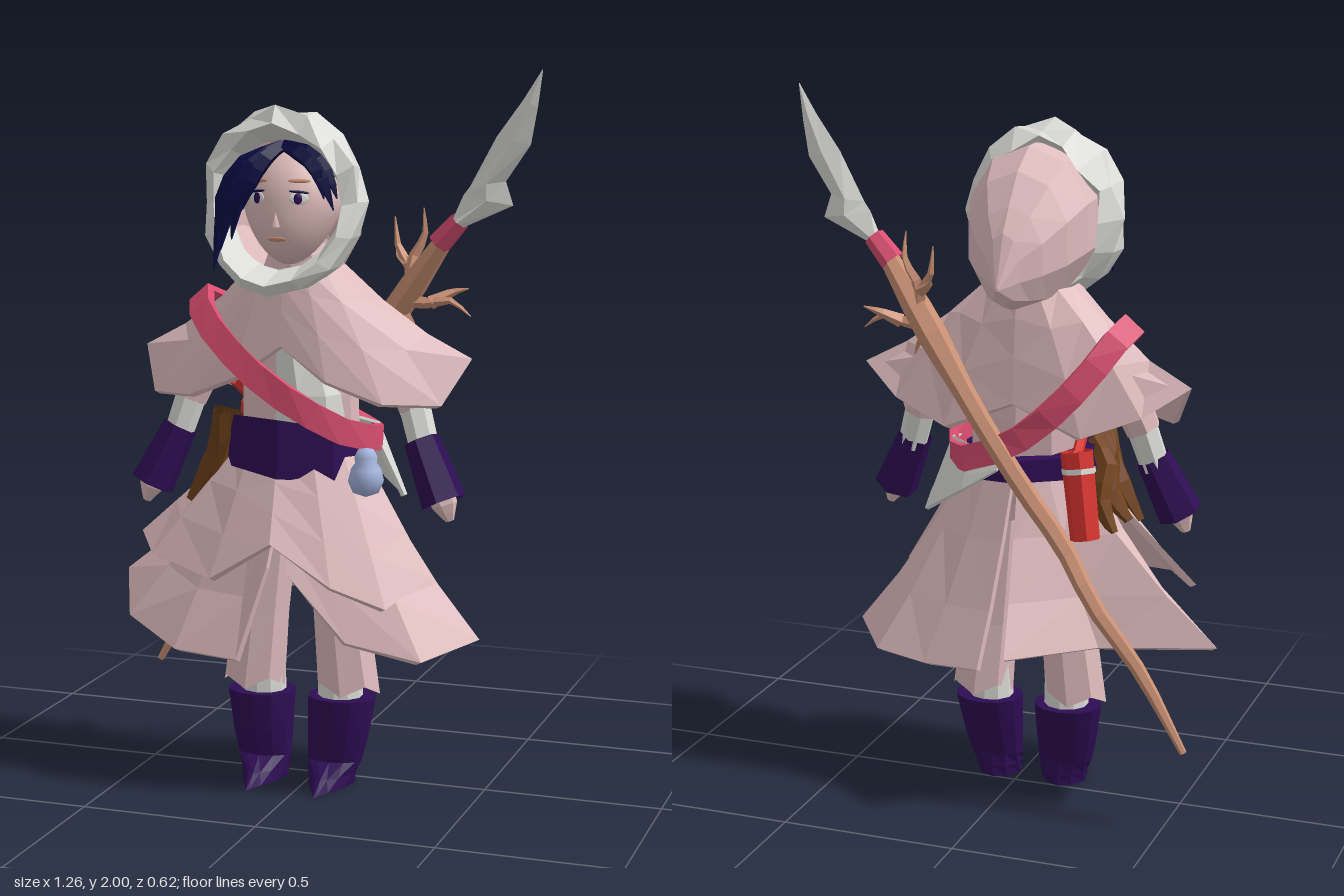
import * as THREE from 'three';

const mat = (name, color) => {
  const m = new THREE.MeshStandardMaterial({ color, side: THREE.DoubleSide });
  m.name = name;
  return m;
};
const V = (p) => new THREE.Vector3(...p);
const { lerp, clamp } = THREE.MathUtils;

// Flat-faced skin over rows of points; each row is a closed loop
function loft(rows, caps = true) {
  const pos = [];
  const quad = (a, b, c, d) => pos.push(...a, ...b, ...c, ...a, ...c, ...d);
  const n = rows[0].length;
  for (let r = 0; r < rows.length - 1; r++)
    for (let i = 0; i < n; i++) {
      const j = (i + 1) % n;
      quad(rows[r][i], rows[r][j], rows[r + 1][j], rows[r + 1][i]);
    }
  if (caps) for (const row of [rows[0], rows[rows.length - 1]])
    for (let i = 0; i < n / 2 - 1; i++) quad(row[i], row[i + 1], row[n - 2 - i], row[n - 1 - i]);
  const g = new THREE.BufferGeometry();
  g.setAttribute('position', new THREE.Float32BufferAttribute(pos, 3));
  g.computeVertexNormals();
  return g;
}

// Horizontal ellipse of points
const ring = (n, x, y, z, rx, rz, jag = 0) => Array.from({ length: n }, (_, i) => {
  const a = (i / n) * Math.PI * 2;
  return [x + rx * Math.sin(a), y + (i % 2 ? jag : 0), z + rz * Math.cos(a)];
});

function flat(g) {
  const f = g.toNonIndexed();
  f.computeVertexNormals();
  return f;
}

// Tapered tube along a smooth path
function limb(points, radii, sides = 6, segs = 10) {
  const curve = new THREE.CatmullRomCurve3(points.map(V));
  const g = new THREE.TubeGeometry(curve, segs, 1, sides, false);
  const p = g.attributes.position, v = new THREE.Vector3();
  for (let i = 0; i < p.count; i++) {
    const t = Math.floor(i / (sides + 1)) / segs;
    const k = t * (radii.length - 1), a = Math.min(Math.floor(k), radii.length - 2);
    const c = curve.getPointAt(t);
    v.fromBufferAttribute(p, i).sub(c).multiplyScalar(lerp(radii[a], radii[a + 1], k - a)).add(c);
    p.setXYZ(i, v.x, v.y, v.z);
  }
  return flat(g);
}

// Cloth with thickness hanging from a top line to a hem line; lift(i) bulges or sags column i
function cloth(top, hem, thick, lift, cx, cz) {
  const rows = [0, 0.3, 0.65, 1].map((t) => {
    const outer = top.map((p, i) => p.map((c, k) =>
      lerp(c, hem[i][k], t) + (k === 1 ? lift(i) * Math.sin(t * Math.PI) : 0)));
    const inner = outer.map(([x, y, z]) => {
      const s = 1 - thick / Math.hypot(x - cx, z - cz);
      return [cx + (x - cx) * s, y - thick * 0.5, cz + (z - cz) * s];
    });
    return [...outer, ...inner.reverse()];
  });
  return loft(rows);
}

export function createModel() {
  const pink = mat('dusty pink cloth', 0xe0bcbe), white = mat('pale fur and linen', 0xdcdcd8);
  const purple = mat('deep purple leather', 0x2e0d54), navy = mat('navy hair', 0x0a0a42);
  const skin = mat('skin', 0xdebcba), rose = mat('rose strap', 0xda4e70);
  const wood = mat('staff wood', 0xca9074), brown = mat('brown leather', 0x74441c);
  const red = mat('red scroll', 0xdc3530), blue = mat('pale blue gourd', 0xa4b4de);

  const model = new THREE.Group();
  const figure = new THREE.Group();
  figure.name = 'figure';
  figure.position.x = -0.03;
  model.add(figure);
  const add = (name, geo, m, parent = model) => {
    const mesh = new THREE.Mesh(geo, m);
    mesh.name = name;
    parent.add(mesh);
    return mesh;
  };

  // Legs and arms, mirrored; boots narrow to a pointed toe
  for (const s of [1, -1]) {
    const side = s > 0 ? 'left' : 'right';
    const rings = (list, n, jag) => list.map(([x, y, z, rx, rz], i) =>
      ring(n, s * x, y, z, rx, rz, i === 0 ? jag : 0));
    const boot = rings([[0.12, 0.25, 0.035, 0.1, 0.086], [0.112, 0.14, 0.048, 0.09, 0.066],
      [0.105, 0.07, 0.055, 0.08, 0.052], [0.1, 0.035, 0.085, 0.075, 0.085],
      [0.1, 0.003, 0.115, 0.075, 0.115]], 12, 0);
    for (const row of boot.slice(3)) for (const p of row)
      p[0] = s * 0.1 + (p[0] - s * 0.1) * clamp(1 - (p[2] - 0.06) / 0.18, 0.05, 1);
    add(side + 'Boot', loft(boot), purple, figure);
    add(side + 'LegWrap', loft(rings([[0.115, 0.22, 0.035, 0.065, 0.06], [0.115, 0.42, 0.035, 0.06, 0.058]], 10, 0)), white, figure);
    add(side + 'Trouser', loft(rings([[0.142, 0.265, 0.04, 0.092, 0.08], [0.12, 0.48, 0.04, 0.083, 0.076],
      [0.09, 0.8, 0.03, 0.085, 0.085]], 8, 0.03), false), pink, figure);
    const m = (pts) => pts.map(([x, y, z]) => [s * x, y, z]);
    add(side + 'Sleeve', limb(m([[0.16, 1.35, 0.02], [0.27, 1.22, 0.02], [0.335, 1.08, 0.04]]), [0.06, 0.058, 0.05], 7, 4), pink, figure);
    add(side + 'WristWrap', limb(m([[0.325, 1.1, 0.04], [0.365, 0.97, 0.06]]), [0.045, 0.042], 7, 1), white, figure);
    add(side + 'Cuff', limb(m([[0.355, 1.0, 0.06], [0.43, 0.835, 0.09]]), [0.05, 0.064], 6, 1), purple, figure);
    add(side + 'Hand', limb(m([[0.415, 0.87, 0.085], [0.433, 0.825, 0.09], [0.447, 0.785, 0.09]]), [0.04, 0.036, 0.012], 6, 4), skin, figure);
  }

  // Torso: jacket with a linen front, and the belt
  add('jacket', loft([ring(10, 0, 0.88, 0.04, 0.17, 0.11), ring(10, 0, 1.1, 0.04, 0.165, 0.12),
    ring(10, 0, 1.3, 0.04, 0.17, 0.1), ring(10, 0, 1.5, 0.04, 0.09, 0.08)]), pink, figure);
  add('shirtFront', loft([ring(8, 0.04, 0.95, 0.09, 0.11, 0.09), ring(8, 0.04, 1.12, 0.09, 0.1, 0.09),
    ring(8, 0.01, 1.28, 0.08, 0.07, 0.08)]), white, figure);
  const beltRow = (y, k, dip) => ring(8, -0.01, y, 0.045, 0.205 * k, 0.165 * k)
    .map(([x, yy, z]) => [x, yy - x * 0.08 + dip * Math.max(z, -0.05), z]);
  add('belt', loft([beltRow(0.93, 1.04, -0.17), beltRow(1.01, 0.98, 0.22)]), purple, figure);

  // Skirt: two long panels split front and back, and a shorter front tier
  const waist = (from, to, n, grow = 0) => Array.from({ length: n }, (_, i) => {
    const a = lerp(from, to, i / (n - 1));
    return [-0.03 + (0.175 + grow) * Math.sin(a), 0.95, 0.045 + (0.125 + grow) * Math.cos(a)];
  });
  const skirt = (name, top, hem, lift) => add(name, cloth(top, hem, 0.018, () => lift, -0.03, 0.02), pink);
  skirt('leftSkirtPanel', waist(0.05, 3.1, 7), [[0, 0.64, 0.25], [0.17, 0.46, 0.25], [0.37, 0.41, 0.2],
    [0.485, 0.44, 0.02], [0.36, 0.42, -0.16], [0.2, 0.41, -0.2], [0.03, 0.42, -0.23]], -0.03);
  skirt('rightSkirtPanel', waist(-0.05, -3.1, 7), [[-0.05, 0.66, 0.27], [-0.13, 0.4, 0.3], [-0.32, 0.41, 0.28],
    [-0.51, 0.46, 0.15], [-0.63, 0.53, -0.12], [-0.3, 0.5, -0.15], [-0.08, 0.49, -0.31]], -0.03);
  skirt('frontSkirtTier', waist(-1.7, 1.5, 7, 0.015), [[-0.54, 0.67, -0.02], [-0.43, 0.65, 0.17], [-0.21, 0.62, 0.29],
    [-0.03, 0.73, 0.3], [0.14, 0.62, 0.29], [0.28, 0.56, 0.24], [0.36, 0.62, 0.08]], 0);

  // Shoulder cape with flared side points and front and back notches
  const half = [[0, 1.26, 0.21], [0.13, 1.17, 0.215], [0.28, 1.11, 0.18], [0.42, 1.1, 0.09],
    [0.48, 1.22, 0], [0.36, 1.14, -0.07], [0.2, 1.08, -0.11], [0, 1.16, -0.105]];
  for (const s of [1, -1]) {
    const hem = half.map(([x, y, z]) => [s * x, y, z]);
    const neck = half.map((_, i) => {
      const a = (i / 7) * Math.PI;
      return [s * 0.13 * Math.sin(a), 1.47, 0.06 + 0.13 * Math.cos(a)];
    });
    add(s > 0 ? 'leftCape' : 'rightCape', cloth(neck, hem, 0.015, (i) => (i === 4 ? -0.025 : 0.022), 0, 0.03), pink, figure);
  }

  // Hood with a drooping point behind, stacked from front to back
  const upright = (n, y, z, rx, ry) => ring(n, 0, 0, 0, rx, ry).map(([x, , c]) => [x, y + c, z]);
  add('hood', loft([upright(10, 1.64, 0.13, 0.18, 0.215), upright(10, 1.635, 0.03, 0.18, 0.215),
    upright(10, 1.605, -0.06, 0.15, 0.19), upright(10, 1.57, -0.13, 0.1, 0.14),
    upright(10, 1.545, -0.175, 0.05, 0.1), upright(10, 1.5, -0.225, 0.005, 0.005)], false), pink, figure);

  // Jagged fur ring around the face, jutting forward under the chin
  const furRow = (rx, ry, cy, z, jag, jut) => Array.from({ length: 16 }, (_, i) => {
    const a = (i / 16) * Math.PI * 2, up = Math.cos(a);
    const j = jag * Math.sin(i * 2.4 + z * 40) * (0.55 + 0.45 * up), k = 1 + j;
    return [rx * k * Math.sin(a), cy + ry * k * up, z + jut * up * up * (up < 0 ? 1 : 0.25) + j * 0.3];
  });
  const fur = [furRow(0.185, 0.215, 1.645, 0.05, 0.07, 0.02), furRow(0.226, 0.248, 1.65, 0.11, 0.07, 0.05),
    furRow(0.222, 0.248, 1.65, 0.175, 0.06, 0.1), furRow(0.185, 0.21, 1.642, 0.205, 0.04, 0.1),
    furRow(0.158, 0.175, 1.64, 0.13, 0, 0.06)];
  add('furTrim', loft([...fur, fur[0]], false), white, figure).position.x = -0.012;

  // Head: a sphere narrowed towards the chin
  const head = new THREE.SphereGeometry(1, 24, 18);
  const hp = head.attributes.position;
  const surface = (x, y, z) => {
    const low = Math.max(0, -y);
    return [x * 0.135 * (1 - 0.3 * low), 1.635 + y * 0.16, 0.105 + z * 0.135 + low * 0.025];
  };
  for (let i = 0; i < hp.count; i++) hp.setXYZ(i, ...surface(hp.getX(i), hp.getY(i), hp.getZ(i)));
  head.computeVertexNormals();
  add('head', head, skin, figure);
  add('nose', new THREE.ConeGeometry(0.012, 0.04, 4), skin, figure).position.set(0, 1.605, 0.243);
  const onFace = (name, u, v, w, h, m, out, tilt = 0) => {
    const p = surface(u, v, Math.sqrt(1 - u * u - v * v));
    const mesh = add(name, new THREE.SphereGeometry(1, 12, 8), m, figure);
    mesh.scale.set(w, h, 0.004);
    mesh.position.set(p[0], p[1], p[2] + out);
    mesh.rotation.set(-v * 0.5, u, tilt);
  };
  for (const s of [1, -1]) {
    onFace('eyeWhite', s * 0.44, 0.16, 0.027, 0.017, white, 0.001);
    onFace('iris', s * 0.43, 0.16, 0.012, 0.015, purple, 0.004);
    onFace('eyelid', s * 0.44, 0.27, 0.028, 0.004, navy, 0.003, -s * 0.05);
    onFace('eyebrow', s * 0.42, 0.45, 0.03, 0.006, wood, 0.002, s * 0.08);
  }
  onFace('mouth', 0, -0.52, 0.027, 0.007, wood, 0.002);

  // Hair: a cap and sweeping locks, the longest falling outside the hood
  const cap = add('hairCap', flat(new THREE.SphereGeometry(1, 12, 6, 0, Math.PI * 2, 0, 1.15)), navy, figure);
  cap.scale.set(0.145, 0.168, 0.142);
  cap.position.set(0, 1.635, 0.09);
  cap.rotation.x = -0.3;
  const root = [-0.01, 1.795, 0.15];
  [[[-0.1, 1.74, 0.2], [-0.15, 1.62, 0.235], [-0.165, 1.47, 0.275]],
    [[-0.08, 1.75, 0.2], [-0.13, 1.64, 0.24], [-0.15, 1.52, 0.265]],
    [[-0.06, 1.76, 0.205], [-0.1, 1.68, 0.24], [-0.12, 1.55, 0.26]],
    [[-0.04, 1.765, 0.205], [-0.07, 1.7, 0.24], [-0.09, 1.63, 0.255]],
    [[-0.12, 1.74, 0.185], [-0.16, 1.66, 0.215], [-0.17, 1.54, 0.235]],
    [[0.06, 1.775, 0.19], [0.11, 1.72, 0.195], [0.15, 1.63, 0.205]],
    [[0.08, 1.77, 0.18], [0.13, 1.72, 0.185], [0.155, 1.66, 0.19]],
    [[0.05, 1.78, 0.195], [0.095, 1.74, 0.2], [0.125, 1.66, 0.21]]]
    .forEach((pts) => add('hairLock', limb([root, ...pts], [0.018, 0.025, 0.021, 0.002], 4, 6), navy, figure));

  // Diagonal strap looping from the right shoulder to the left hip
  const path = new THREE.CatmullRomCurve3([[-0.325, 1.37, 0.04], [-0.26, 1.31, 0.16], [-0.08, 1.165, 0.225], [0.14, 1.04, 0.215],
    [0.2, 1.0, 0.07], [0.12, 0.99, -0.1], [-0.06, 1.07, -0.14], [-0.22, 1.22, -0.115], [-0.31, 1.35, -0.03]].map(V), true);
  const strap = Array.from({ length: 19 }, (_, i) => {
    const c = path.getPointAt((i / 18) % 1), t = path.getTangentAt((i / 18) % 1);
    const out = new THREE.Vector3(c.x + 0.04, Math.max(0, c.y - 1.12) * 1.3, c.z - 0.03).normalize();
    const w = t.clone().cross(out).normalize();
    return [[1, 1], [1, -1], [-1, -1], [-1, 1]].map(([a, b]) =>
      c.clone().addScaledVector(w, a * 0.036).addScaledVector(out, b * 0.014).toArray());
  });
  add('strap', loft(strap, false), rose);

  // Staff with twigs, binding and blade
  add('staff', limb([[-0.56, 0.24, -0.19], [-0.43, 0.46, -0.185], [-0.3, 0.64, -0.2], [-0.2, 0.78, -0.155], [-0.08, 0.93, -0.145],
    [0.05, 1.12, -0.145], [0.2, 1.33, -0.105], [0.28, 1.44, -0.08], [0.36, 1.55, -0.06]],
    [0.01, 0.02, 0.024, 0.028, 0.028, 0.03, 0.044, 0.026], 6, 18), wood);
  [[[0.25, 1.38, -0.09], [0.235, 1.46, -0.11], [0.2, 1.5, -0.13], [0.185, 1.59, -0.14]],
    [[0.25, 1.42, -0.08], [0.25, 1.48, -0.1], [0.28, 1.54, -0.11], [0.28, 1.62, -0.1]],
    [[0.23, 1.36, -0.1], [0.31, 1.36, -0.07], [0.37, 1.37, -0.06], [0.43, 1.33, -0.05]],
    [[0.31, 1.36, -0.07], [0.37, 1.39, -0.1], [0.41, 1.4, -0.1]],
    [[0.2, 1.33, -0.11], [0.25, 1.31, -0.08], [0.27, 1.27, -0.07]],
    [[0.235, 1.46, -0.11], [0.2, 1.48, -0.14], [0.18, 1.5, -0.17]]]
    .forEach((pts) => add('twig', limb(pts, [0.02, 0.013, 0.002], 4, 6), wood));
  add('binding', limb([[0.335, 1.525, -0.065], [0.395, 1.59, -0.055]], [0.035, 0.03], 6, 1), rose);
  const blade = [[0.37, 1.585, 0.39, 1.565, -0.06, 0.015], [0.405, 1.66, 0.545, 1.635, -0.055, 0.024], [0.425, 1.685, 0.525, 1.7, -0.05, 0.022],
    [0.5, 1.82, 0.595, 1.8, -0.04, 0.016], [0.575, 1.92, 0.615, 1.9, -0.03, 0.01], [0.628, 2, 0.63, 1.998, -0.02, 0.001]];
  add('blade', loft(blade.map(([ax, ay, bx, by, z, d]) => {
    const mx = (ax + bx) / 2, my = (ay + by) / 2;
    return [[ax, ay, z], [mx, my, z + d], [bx, by, z], [mx, my, z - d]];
  })), white);

  // Scroll and leather bundle on the right hip
  add('scroll', limb([[-0.26, 0.81, -0.15], [-0.225, 1.05, -0.125]], [0.042, 0.046], 7, 1), red);
  add('scrollBand', limb([[-0.235, 0.99, -0.132], [-0.233, 1.005, -0.13]], [0.048, 0.048], 7, 1), white);
  add('scrollCord', limb([[-0.225, 1.04, -0.12], [-0.21, 1.1, 0], [-0.2, 1.15, 0.12]], [0.016, 0.016], 5, 5), red);
  for (let i = 0; i < 5; i++)
    add('bundleStrip', limb([[-0.2 - i * 0.004, 1.08 - i * 0.01, 0.23 - i * 0.045], [-0.24 - i * 0.008, 0.97, 0.14 - i * 0.035],
      [-0.28 + (i % 3) * 0.02, 0.9, 0.11 - i * 0.035], [-0.34 + (i % 3) * 0.035, 0.8 + (i % 2) * 0.03, 0.1 - i * 0.035]],
      [0.018, 0.03, 0.031, 0.014], 5, 6), brown);

  // Gourd and linen drape around the left hip
  add('gourd', new THREE.LatheGeometry([[0.001, 0.855], [0.036, 0.868], [0.05, 0.9], [0.042, 0.932], [0.03, 0.948],
    [0.032, 0.965], [0.022, 0.985], [0.001, 0.99]].map(([x, y]) => new THREE.Vector2(x, y)), 12), blue).position.set(0.205, 0, 0.18);
  add('linenDrape', cloth([[0.19, 1.02, 0.06], [0.18, 1.03, -0.02], [0.09, 1.03, -0.1], [-0.01, 1.04, -0.125]],
    [[0.275, 0.84, 0.05], [0.25, 0.82, -0.06], [0.11, 0.91, -0.14], [0, 0.98, -0.15]], 0.01, () => 0, -0.03, 0.04), white);

  return model;
}
